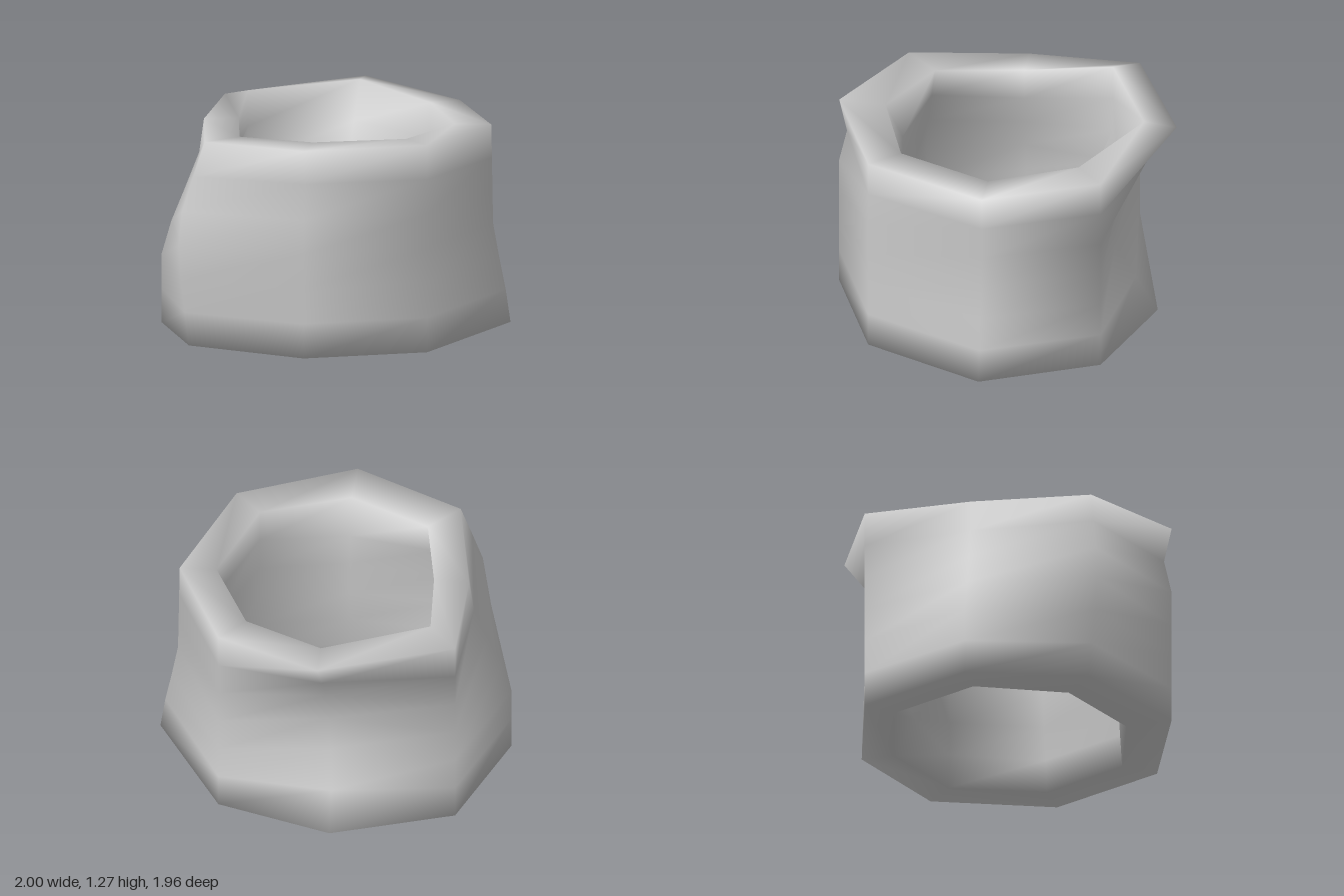
import * as THREE from 'three';

const LEVELS = 7;
const { lerp } = THREE.MathUtils;

// Corner edges, counter-clockwise from +x seen from above.
// edge: [y, x, z] keys; wall: thickness at the rims and at mid height; lift: inner rim above outer
const corners = [
  // left side
  { edge: [[0.05, 1, 0], [0.2, 0.98, 0], [0.6, 0.9, 0], [1.19, 0.89, 0]], wall: [0.21, 0.2], lift: 0 },
  // back left
  { edge: [[0, 0.62, -0.64], [1.2, 0.62, -0.64]], wall: [0.21, 0.22], lift: 0.01 },
  // back, pinched in at mid height and flared at both ends
  {
    edge: [[0, -0.03, -0.86], [0.2, -0.03, -0.74], [0.4, -0.02, -0.62], [0.6, -0.01, -0.6],
      [0.83, 0, -0.66], [1.26, 0.03, -0.98]],
    wall: [0.19, 0.19], lift: 0.015,
  },
  // back right
  { edge: [[0, -0.73, -0.64], [1.2, -0.73, -0.64]], wall: [0.2, 0.2], lift: 0.05 },
  // right side, leaning inwards towards the top
  {
    edge: [[0, -1, 0.03], [0.4, -1, 0.03], [0.6, -0.94, 0.03], [0.97, -0.79, 0], [1.18, -0.76, 0]],
    wall: [0.2, 0.22], lift: 0.01,
  },
  // front right, bulging at mid height
  {
    edge: [[0, -0.75, 0.69], [0.4, -0.79, 0.745], [0.6, -0.8, 0.755], [0.8, -0.78, 0.74], [1.18, -0.66, 0.68]],
    wall: [0.25, 0.27], lift: 0,
  },
  // front
  { edge: [[0, -0.05, 0.98], [0.8, -0.05, 0.98], [1, -0.05, 0.935], [1.2, -0.05, 0.98]], wall: [0.27, 0.38], lift: 0 },
  // front left
  { edge: [[0, 0.62, 0.7], [1.2, 0.62, 0.7]], wall: [0.22, 0.22], lift: 0 },
];

// Point on a corner edge at fraction t of its height
function outerPoint({ edge }, t) {
  const y = lerp(edge[0][0], edge.at(-1)[0], t);
  let i = 0;
  while (i < edge.length - 2 && y > edge[i + 1][0]) i++;
  const [a, b] = [edge[i], edge[i + 1]];
  const f = (y - a[0]) / (b[0] - a[0]);
  return new THREE.Vector3(lerp(a[1], b[1], f), y, lerp(a[2], b[2], f));
}

// Matching inside point, moved towards the axis by the wall thickness
function innerPoint(corner, t) {
  const p = outerPoint(corner, t);
  const thickness = lerp(...corner.wall, Math.sin(Math.PI * t));
  const k = 1 - thickness / Math.hypot(p.x, p.z);
  return p.set(p.x * k, p.y + corner.lift * t, p.z * k);
}

export function createModel() {
  const points = [], indices = [];
  const ring = LEVELS * 2, n = corners.length;

  // Each corner gives a closed section: up the outside, down the inside
  for (const corner of corners) {
    for (let i = 0; i < LEVELS; i++) points.push(outerPoint(corner, i / (LEVELS - 1)));
    for (let i = LEVELS - 1; i >= 0; i--) points.push(innerPoint(corner, i / (LEVELS - 1)));
  }

  // Join neighbouring sections all the way round
  for (let c = 0; c < n; c++) {
    for (let i = 0; i < ring; i++) {
      const j = (i + 1) % ring, d = (c + 1) % n;
      const p = c * ring + i, q = d * ring + i, r = d * ring + j, s = c * ring + j;
      indices.push(p, q, r, p, r, s);
    }
  }

  const geometry = new THREE.BufferGeometry().setFromPoints(points);
  geometry.setIndex(indices);
  geometry.computeVertexNormals();

  const band = new THREE.Mesh(geometry, new THREE.MeshStandardMaterial({ color: 0xcccccc }));
  band.name = 'hollowBand';
  const group = new THREE.Group();
  group.name = 'irregularRing';
  group.add(band);
  return group;
}
